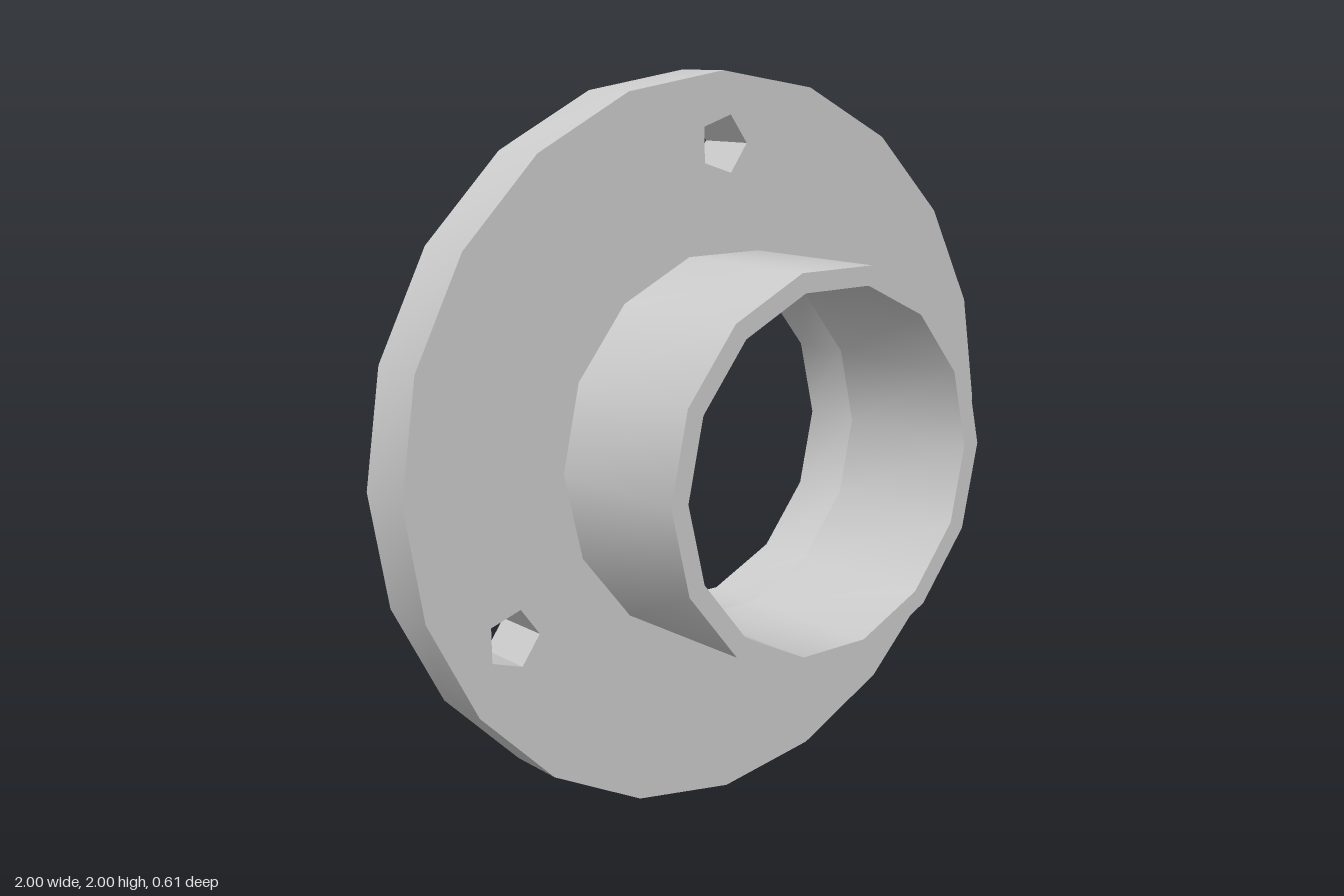
import * as THREE from 'three';
import { toCreasedNormals } from 'three/addons/utils/BufferGeometryUtils.js';

// Corners of a regular polygon, first corner pointing to +x
function polygon(sides, radius, cx = 0, cy = 0) {
  return Array.from({ length: sides }, (_, i) => {
    const a = (i / sides) * Math.PI * 2;
    return new THREE.Vector2(cx + radius * Math.cos(a), cy + radius * Math.sin(a));
  });
}

// Extrudes an outline with holes from zBack to zFront
function plate(name, outline, holes, zBack, zFront, material) {
  const shape = new THREE.Shape(outline);
  holes.forEach((points) => shape.holes.push(new THREE.Path(points)));
  const extruded = new THREE.ExtrudeGeometry(shape, { depth: zFront - zBack, bevelEnabled: false });
  // Round walls shade smoothly, rims and bolt holes stay sharp
  const geometry = toCreasedNormals(extruded, 0.6);
  geometry.translate(0, 1, zBack);
  const mesh = new THREE.Mesh(geometry, material);
  mesh.name = name;
  return mesh;
}

export function createModel() {
  const group = new THREE.Group();
  group.name = 'pipeFlange';
  const material = new THREE.MeshStandardMaterial({ color: 0xcccccc });

  const back = -0.305, step = -0.135, front = 0.305;
  const bore = polygon(14, 0.483);

  // Three bolt holes on a circle, one at the top
  const boltHoles = [90, 210, 330].map((deg) => {
    const a = THREE.MathUtils.degToRad(deg);
    return polygon(5, 0.08, 0.81 * Math.cos(a), 0.81 * Math.sin(a));
  });

  // Wide disc at the back
  group.add(plate('flangeDisc', polygon(20, 1), [bore, ...boltHoles], back, step, material));
  // Thin-walled collar at the front
  group.add(plate('collar', polygon(14, 0.535), [bore], step, front, material));

  return group;
}
